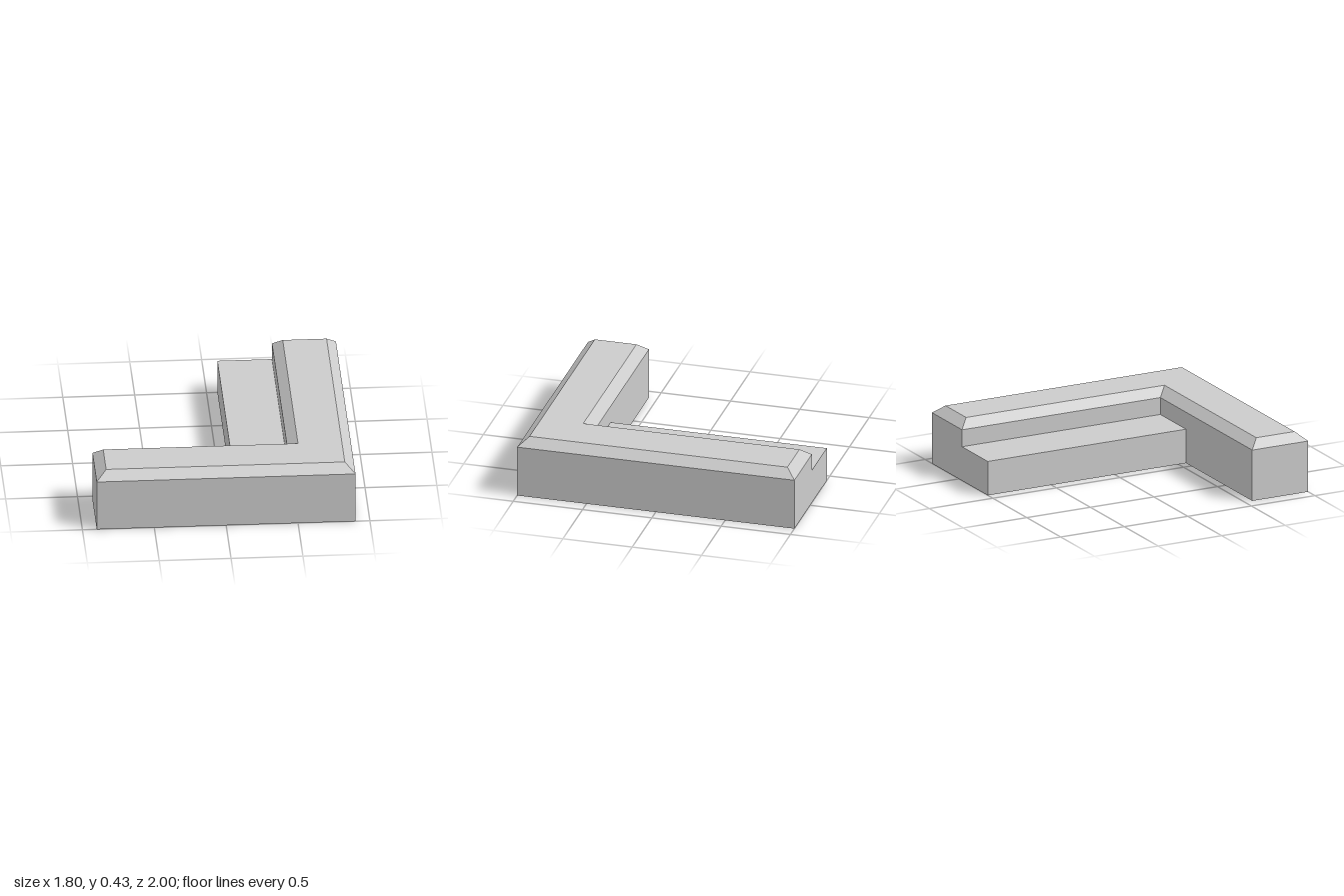
import * as THREE from 'three';

const HEIGHT = 0.43, SHOULDER = 0.37, INSET = 0.07;
const LEDGE_HEIGHT = 0.247;
const INNER_X = 0.455, INNER_Z = 0.56;

// L-shaped wall: straight sides up to the shoulder, then a chamfer to the flat top
function wallGeometry() {
  const outline = [[-0.9, 1], [0.9, 1], [0.9, -1], [INNER_X, -1], [INNER_X, INNER_Z], [-0.9, INNER_Z]];
  const shape = new THREE.Shape(outline.map(([x, z]) => new THREE.Vector2(x, -z)));
  const geometry = new THREE.ExtrudeGeometry(shape, { depth: HEIGHT, steps: 2, bevelEnabled: false });
  geometry.rotateX(-Math.PI / 2);

  const p = geometry.attributes.position;
  for (let i = 0; i < p.count; i++) {
    const x = p.getX(i), y = p.getY(i), z = p.getZ(i);
    if (y > HEIGHT * 0.75) {
      // top ring: pull every edge inward
      p.setX(i, x > 0.8 ? x - INSET : x + INSET);
      p.setZ(i, z > 0.8 ? z - INSET : z + INSET);
    } else if (y > HEIGHT * 0.25) {
      // middle ring: raise to the shoulder
      p.setY(i, SHOULDER);
    }
  }
  geometry.computeVertexNormals();
  return geometry;
}

export function createModel() {
  const group = new THREE.Group();
  group.name = 'cornerParapet';
  const material = new THREE.MeshStandardMaterial({ color: 0xcccccc, flatShading: true });

  const wall = new THREE.Mesh(wallGeometry(), material);
  wall.name = 'chamferedWall';
  group.add(wall);

  // Lower walkway along the inside of the long leg
  const ledgeLeft = 0.075, ledgeBack = -1;
  const width = INNER_X - ledgeLeft, length = INNER_Z - ledgeBack;
  const ledge = new THREE.Mesh(new THREE.BoxGeometry(width, LEDGE_HEIGHT, length), material);
  ledge.name = 'ledge';
  ledge.position.set(ledgeLeft + width / 2, LEDGE_HEIGHT / 2, ledgeBack + length / 2);
  group.add(ledge);

  return group;
}
